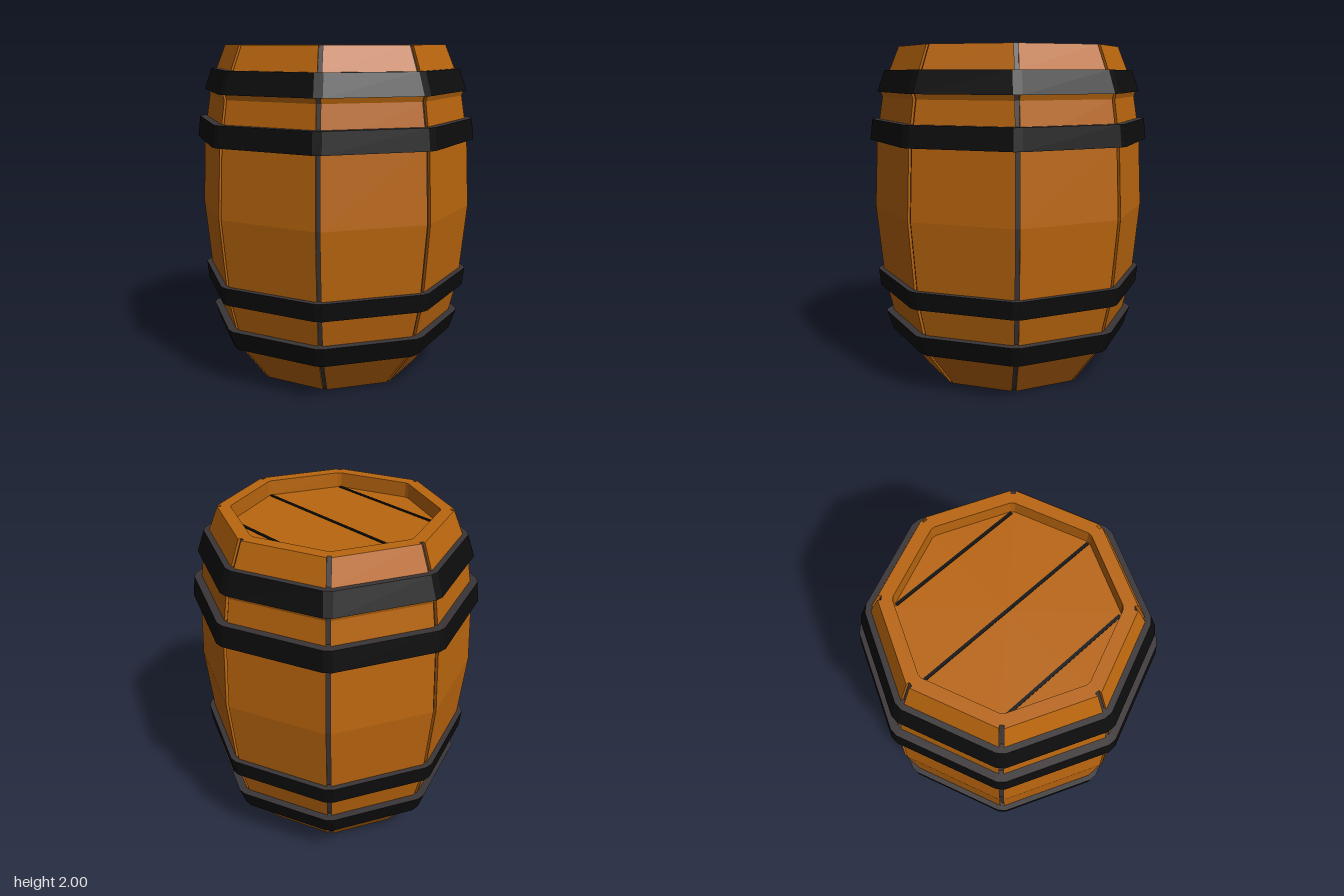
import * as THREE from 'three';

const SIDES = 8;
const wood = new THREE.MeshStandardMaterial({ name: 'warm wood', color: 0xba660e });
const iron = new THREE.MeshStandardMaterial({ name: 'black iron', color: 0x0d0d0d });
const grey = new THREE.MeshStandardMaterial({ name: 'dark grey', color: 0x3a3537 });

// One octagonal section; every corner has four points, cut back by `depth` in its middle
function section({ r, y, depth = 0 }, halfWidth) {
  const w = r > 0 ? halfWidth : 0;
  const corner = [[r, -w], [r - depth, -w], [r - depth, w], [r, w]];
  const points = [];
  for (let i = 0; i < SIDES; i++) {
    const a = (i / SIDES) * Math.PI * 2, c = Math.cos(a), s = Math.sin(a);
    for (const [u, v] of corner) points.push([u * c - v * s, y, -(u * s + v * c)]);
  }
  return points;
}

// Joins the sections with flat quads; slotOf(row, column) picks material slot 0 or 1
function loft(name, rows, halfWidth, materials, slotOf) {
  const rings = rows.map((row) => section(row, halfWidth));
  const n = SIDES * 4, slots = [[], []];
  for (let j = 0; j < rows.length - 1; j++) {
    for (let i = 0; i < n; i++) {
      const k = (i + 1) % n;
      const a = rings[j][i], b = rings[j][k], c = rings[j + 1][k], d = rings[j + 1][i];
      slots[slotOf(j, i % 4)].push(...a, ...b, ...c, ...a, ...c, ...d);
    }
  }
  const geometry = new THREE.BufferGeometry();
  geometry.setAttribute('position', new THREE.Float32BufferAttribute([...slots[0], ...slots[1]], 3));
  geometry.addGroup(0, slots[0].length / 3, 0);
  geometry.addGroup(slots[0].length / 3, slots[1].length / 3, 1);
  geometry.computeVertexNormals();
  const mesh = new THREE.Mesh(geometry, materials);
  mesh.name = name;
  return mesh;
}

export function createModel() {
  const barrel = new THREE.Group();
  barrel.name = 'barrel';

  // Staves: bulging body with grooved corners, raised rim and sunken lid
  const side = [
    [0.52, 0], [0.705, 0.24], [0.785, 0.57], [0.83, 1.03], [0.81, 1.46],
    [0.772, 1.7], [0.782, 1.73], [0.725, 1.86], [0.668, 2],
  ].map(([r, y]) => ({ r, y, depth: 0.018 }));
  const rows = [
    { r: 0, y: 0 }, ...side,
    { r: 0.59, y: 2 }, { r: 0.59, y: 1.91 }, { r: 0, y: 1.91 },
  ];
  barrel.add(loft('staves', rows, 0.012, [wood, grey],
    (row, column) => (column === 1 && row >= 1 && row < side.length ? 1 : 0)));

  // Hoops: [name, bottom y, bottom radius, top y, top radius]
  const hoops = [
    ['topHoop', 1.73, 0.8, 1.86, 0.755],
    ['upperHoop', 1.44, 0.85, 1.565, 0.836],
    ['lowerHoop', 0.525, 0.81, 0.63, 0.821],
    ['bottomHoop', 0.235, 0.735, 0.355, 0.777],
  ];
  for (const [name, y0, r0, y1, r1] of hoops) {
    const profile = [
      { r: r0 - 0.08, y: y0 }, { r: r0, y: y0 }, { r: r1, y: y1 }, { r: r1 - 0.08, y: y1 },
    ];
    barrel.add(loft(name, profile, 0.025, [iron, grey], (row) => (row === 1 ? 0 : 1)));
  }

  // Dark gaps between the lid planks, running diagonally
  for (const [offset, length] of [[-0.295, 0.82], [0, 1.17], [0.295, 0.82]]) {
    const gap = new THREE.Mesh(new THREE.BoxGeometry(length, 0.006, 0.018), iron);
    gap.name = 'lidGap';
    gap.position.set(-offset, 1.912, offset);
    gap.rotation.y = -Math.PI / 4;
    barrel.add(gap);
  }
  return barrel;
}
